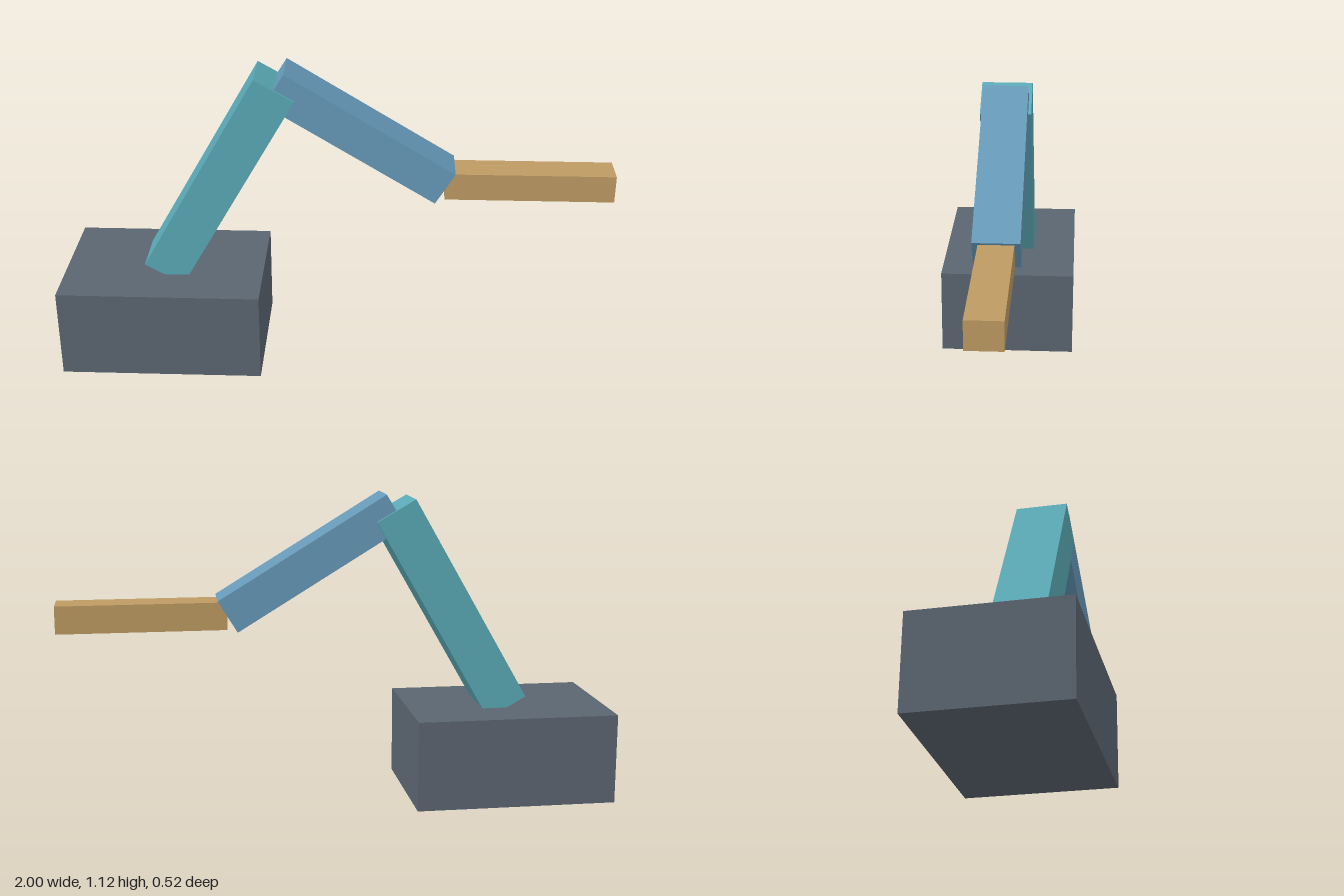
import * as THREE from 'three';

const paint = (name, color) => {
  const m = new THREE.MeshStandardMaterial({ color });
  m.name = name;
  return m;
};

export function createModel() {
  const model = new THREE.Group();
  model.name = 'roboticArm';

  // Box of a given size, centred at (x, y, 0) and tilted about z in degrees
  const addBox = (name, material, size, x, y, tilt = 0) => {
    const mesh = new THREE.Mesh(new THREE.BoxGeometry(...size), material);
    mesh.name = name;
    mesh.position.set(x, y, 0);
    mesh.rotation.z = THREE.MathUtils.degToRad(tilt);
    model.add(mesh);
  };

  // Heavy pedestal
  addBox('base', paint('slateGrey', 0x5b6570), [0.735, 0.33, 0.52], -0.6325, 0.165);
  // Lower link, sunk into the pedestal
  addBox('lowerArm', paint('teal', 0x5aa9b5), [0.161, 0.847, 0.187], -0.42, 0.6975, -29.8);
  // Upper link, overlapping the elbow
  addBox('upperArm', paint('steelBlue', 0x6699b8), [0.709, 0.134, 0.164], 0.0925, 0.88, -31.4);
  // Level end piece
  addBox('hand', paint('tan', 0xbd9a62), [0.605, 0.1, 0.123], 0.6975, 0.695);

  return model;
}
